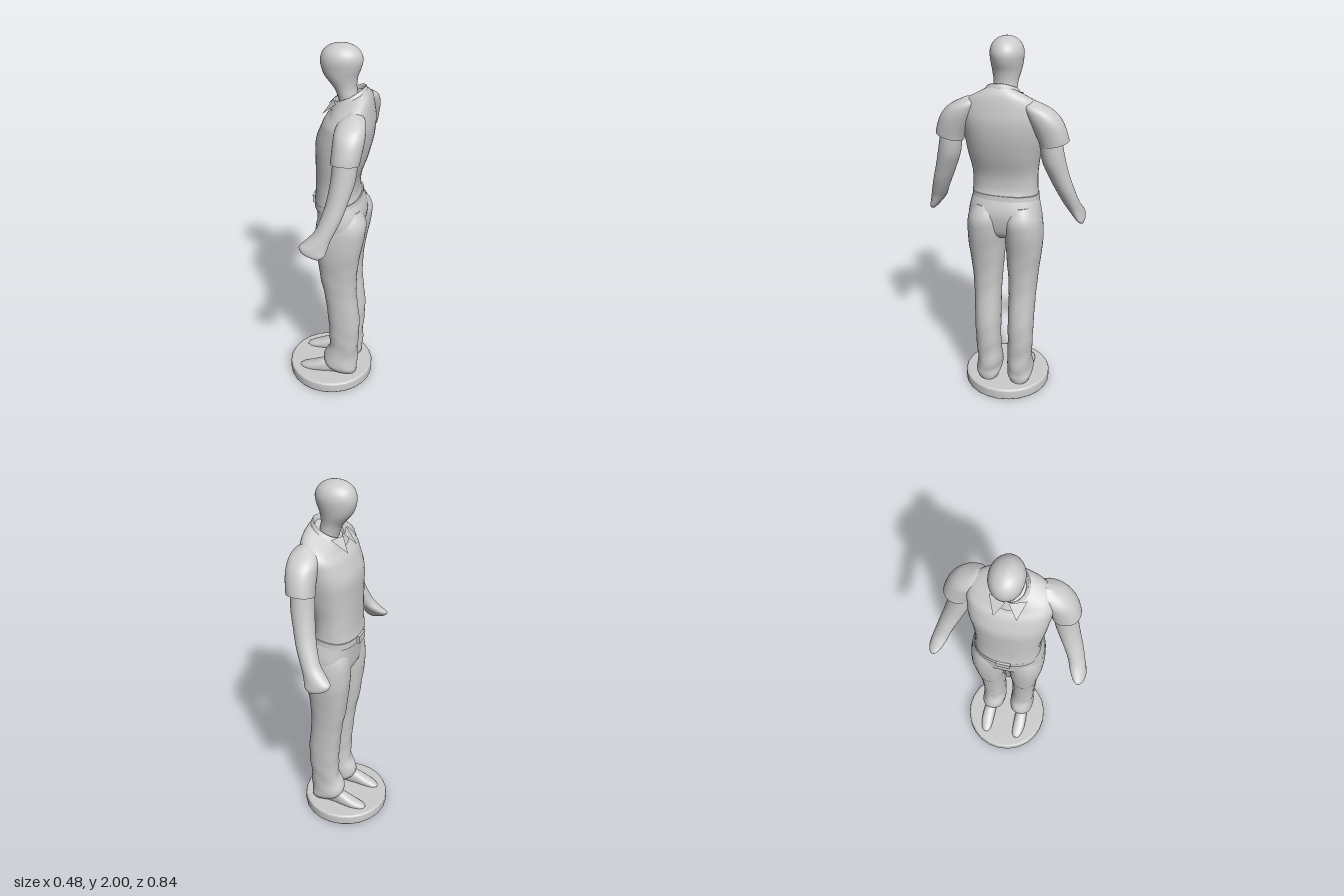
import * as THREE from 'three';

const SEG = 36;
const material = new THREE.MeshStandardMaterial({ color: 0xcccccc, side: THREE.DoubleSide });

// Smooth interpolation of one number through four neighbours
function spline(a, b, c, d, t) {
  const m0 = (c - a) / 2, m1 = (d - b) / 2, t2 = t * t, t3 = t2 * t;
  return (2 * t3 - 3 * t2 + 1) * b + (t3 - 2 * t2 + t) * m0 + (3 * t2 - 2 * t3) * c + (t3 - t2) * m1;
}

// Skin over cross-sections, listed bottom to top.
// Ring: [y, xMin, xMax, zMin, zMax, slopeX, slopeZ]
function loft(rings, { power = 2, steps = 4, caps = true, fold = 0 } = {}) {
  const full = rings.map(r => [...r, 0, 0].slice(0, 7));
  const rows = [];
  const at = i => full[Math.min(Math.max(i, 0), full.length - 1)];
  for (let i = 0; i < full.length - 1; i++) {
    for (let s = 0; s < steps; s++) {
      rows.push(at(i).map((v, k) => spline(at(i - 1)[k], v, at(i + 1)[k], at(i + 2)[k], s / steps)));
    }
  }
  rows.push(full[full.length - 1]);
  const pos = [], index = [];
  const signedPow = v => Math.sign(v) * Math.abs(v) ** (2 / power);
  rows.forEach(([y, x0, x1, z0, z1, sx, sz]) => {
    for (let j = 0; j < SEG; j++) {
      const a = j / SEG * Math.PI * 2;
      const ripple = 1 + fold * Math.sin(y * 48 + 2 * Math.sin(a * 2)) * Math.exp(-y * 2.2);
      const dx = (x1 - x0) / 2 * signedPow(Math.cos(a)) * ripple;
      const dz = (z1 - z0) / 2 * signedPow(Math.sin(a)) * ripple;
      pos.push((x0 + x1) / 2 + dx, y + sx * dx + sz * dz, (z0 + z1) / 2 + dz);
    }
  });
  for (let i = 0; i < rows.length - 1; i++) {
    for (let j = 0; j < SEG; j++) {
      const a = i * SEG + j, b = i * SEG + (j + 1) % SEG;
      index.push(a, a + SEG, b, b, a + SEG, b + SEG);
    }
  }
  if (caps) {
    for (const [row, top] of [[0, false], [rows.length - 1, true]]) {
      const start = pos.length / 3, src = row * SEG * 3;
      pos.push(...pos.slice(src, src + SEG * 3));
      const r = rows[row];
      pos.push((r[1] + r[2]) / 2, r[0], (r[3] + r[4]) / 2);
      for (let j = 0; j < SEG; j++) {
        const a = start + j, b = start + (j + 1) % SEG;
        index.push(start + SEG, top ? b : a, top ? a : b);
      }
    }
  }
  const geo = new THREE.BufferGeometry();
  geo.setAttribute('position', new THREE.Float32BufferAttribute(pos, 3));
  geo.setIndex(index);
  geo.computeVertexNormals();
  return geo;
}

// Reflect cross-sections across z, where sum = left z + right z
const mirror = (rings, sum) => rings.map(([y, x0, x1, z0, z1, sx = 0, sz = 0]) =>
  [y, x0, x1, sum - z1, sum - z0, sx, -sz]);

export function createModel() {
  const model = new THREE.Group();
  const add = (name, geo) => {
    const mesh = new THREE.Mesh(geo, material);
    mesh.name = name;
    model.add(mesh);
    return mesh;
  };
  const addPair = (name, rings, sum, options, turn) => {
    for (const [side, list] of [['left', rings], ['right', mirror(rings, sum)]]) {
      const geo = loft(list, options);
      if (turn) geo.rotateZ(Math.PI / 2);
      add(side + name, geo);
    }
  };

  // Round stand, hollow underneath
  const standProfile = [[0.222, 0.045], [0.225, 0], [0.238, 0], [0.24, 0.004], [0.24, 0.048], [0.236, 0.056], [0.225, 0.06], [0, 0.06]];
  for (const [name, pts] of [['standRim', standProfile], ['standUnderside', [[0, 0.045], [0.222, 0.045]]]]) {
    add(name, new THREE.LatheGeometry(pts.map(p => new THREE.Vector2(...p)), 24)).position.z = -0.013;
  }

  // Feet, skinned from heel to toe and then laid down
  addPair('Foot', [
    [-0.15, 0.05, 0.1, 0.05, 0.1],
    [-0.12, 0.042, 0.14, 0.042, 0.112],
    [-0.02, 0.042, 0.14, 0.045, 0.115],
    [0.03, 0.042, 0.127, 0.047, 0.12],
    [0.09, 0.042, 0.1, 0.048, 0.12],
    [0.14, 0.042, 0.08, 0.054, 0.108],
    [0.163, 0.05, 0.066, 0.07, 0.09],
  ], -0.035, { power: 2.3 }, true);

  // Trouser legs with gathered cuffs
  addPair('TrouserLeg', [
    [0.075, 0.005, 0.165, 0.015, 0.13, -0.12],
    [0.105, -0.02, 0.17, 0.002, 0.143, -0.15],
    [0.14, -0.025, 0.168, 0.002, 0.14, -0.15],
    [0.18, -0.015, 0.172, 0, 0.135, -0.1],
    [0.24, 0.008, 0.17, 0.004, 0.137],
    [0.32, 0.01, 0.176, 0.006, 0.141],
    [0.44, 0.003, 0.178, 0.006, 0.145],
    [0.6, -0.015, 0.16, 0.006, 0.151],
    [0.7, -0.035, 0.158, 0.002, 0.158],
    [0.8, -0.048, 0.165, -0.006, 0.168],
    [0.9, -0.06, 0.18, -0.012, 0.18],
    [1.0, -0.064, 0.198, -0.018, 0.182],
    [1.08, -0.055, 0.202, -0.018, 0.172],
    [1.15, -0.03, 0.17, 0, 0.14],
  ], -0.035, { power: 2.25, fold: 0.03 });

  // Seat of the trousers
  add('trouserSeat', loft([
    [0.965, -0.03, 0.14, -0.17, 0.135],
    [1.0, -0.058, 0.168, -0.2, 0.165],
    [1.07, -0.064, 0.186, -0.21, 0.177],
    [1.13, -0.068, 0.185, -0.2, 0.169],
    [1.18, -0.072, 0.163, -0.187, 0.157, 0.12],
  ], { power: 2.4 }));

  // Belt and buckle
  add('belt', loft([
    [1.16, -0.079, 0.168, -0.191, 0.16, 0.12],
    [1.195, -0.079, 0.164, -0.189, 0.158, 0.12],
  ], { power: 2.4, steps: 1 }));
  add('buckle', new THREE.BoxGeometry(0.018, 0.042, 0.075)).position.set(-0.083, 1.162, -0.012);

  // Shirt body, from hem to sloping neckline
  add('shirtBody', loft([
    [1.195, -0.08, 0.158, -0.184, 0.16, 0.1],
    [1.24, -0.074, 0.15, -0.182, 0.158, 0.05],
    [1.32, -0.072, 0.156, -0.183, 0.16],
    [1.42, -0.072, 0.188, -0.198, 0.177],
    [1.52, -0.07, 0.212, -0.215, 0.19],
    [1.6, -0.045, 0.22, -0.222, 0.198, 0.05],
    [1.65, -0.025, 0.213, -0.22, 0.196, 0.15],
    [1.69, 0.0, 0.203, -0.2, 0.172, 0.3],
    [1.715, 0.01, 0.193, -0.16, 0.13, 0.4],
    [1.74, 0.02, 0.175, -0.1, 0.075, 0.5],
  ], { power: 2.3 }));

  // Short sleeves
  addPair('Sleeve', [
    [1.503, 0.052, 0.192, 0.184, 0.326, 0, 0.25],
    [1.54, 0.054, 0.198, 0.172, 0.318, 0, 0.2],
    [1.6, 0.056, 0.207, 0.14, 0.3, 0, 0.05],
    [1.65, 0.06, 0.208, 0.11, 0.276, 0, -0.1],
    [1.688, 0.082, 0.196, 0.1, 0.24, 0, -0.2],
    [1.714, 0.125, 0.155, 0.14, 0.17, 0, -0.2],
  ], -0.025, { power: 2.15 });

  // Bare arms ending in mitten-shaped hands
  addPair('Arm', [
    [1.043, 0.0, 0.03, 0.388, 0.41],
    [1.06, -0.055, 0.052, 0.37, 0.416],
    [1.09, -0.08, 0.062, 0.345, 0.412],
    [1.125, -0.052, 0.075, 0.322, 0.402, 0.1],
    [1.17, -0.01, 0.095, 0.302, 0.388, 0.1],
    [1.24, 0.018, 0.125, 0.272, 0.368, 0.1],
    [1.32, 0.04, 0.15, 0.238, 0.345, 0.1],
    [1.42, 0.055, 0.176, 0.205, 0.32, 0, 0.15],
    [1.53, 0.062, 0.185, 0.19, 0.3, 0, 0.2],
  ], -0.012);

  // Shirt collar band and its two front points
  add('collar', loft([
    [1.722, -0.002, 0.18, -0.112, 0.088, 0.52],
    [1.742, 0.012, 0.176, -0.1, 0.074, 0.52],
    [1.756, 0.02, 0.166, -0.09, 0.064, 0.56],
    [1.735, 0.028, 0.158, -0.082, 0.056, 0.5],
  ], { steps: 2, caps: false }));
  for (const [side, s] of [['left', 1], ['right', -1]]) {
    const point = (x, y, z) => [x, y, -0.013 + s * z];
    const flap = new THREE.BufferGeometry();
    flap.setAttribute('position', new THREE.Float32BufferAttribute([
      ...point(0.012, 1.72, 0.008), ...point(-0.035, 1.655, 0.055), ...point(0.04, 1.725, 0.09),
    ], 3));
    flap.setIndex(s > 0 ? [0, 1, 2] : [0, 2, 1]);
    flap.computeVertexNormals();
    add(side + 'CollarPoint', flap);
  }

  // Smooth featureless head and neck
  add('head', loft([
    [1.69, 0.045, 0.145, -0.08, 0.04],
    [1.76, 0.022, 0.128, -0.08, 0.04],
    [1.795, 0.0, 0.124, -0.083, 0.042],
    [1.84, -0.036, 0.13, -0.094, 0.052],
    [1.885, -0.054, 0.146, -0.102, 0.059],
    [1.925, -0.056, 0.152, -0.104, 0.062],
    [1.96, -0.042, 0.138, -0.092, 0.052],
    [1.985, -0.012, 0.108, -0.066, 0.028],
    [1.997, 0.025, 0.075, -0.036, 0],
    [2.0, 0.048, 0.052, -0.02, -0.016],
  ]));

  return model;
}
